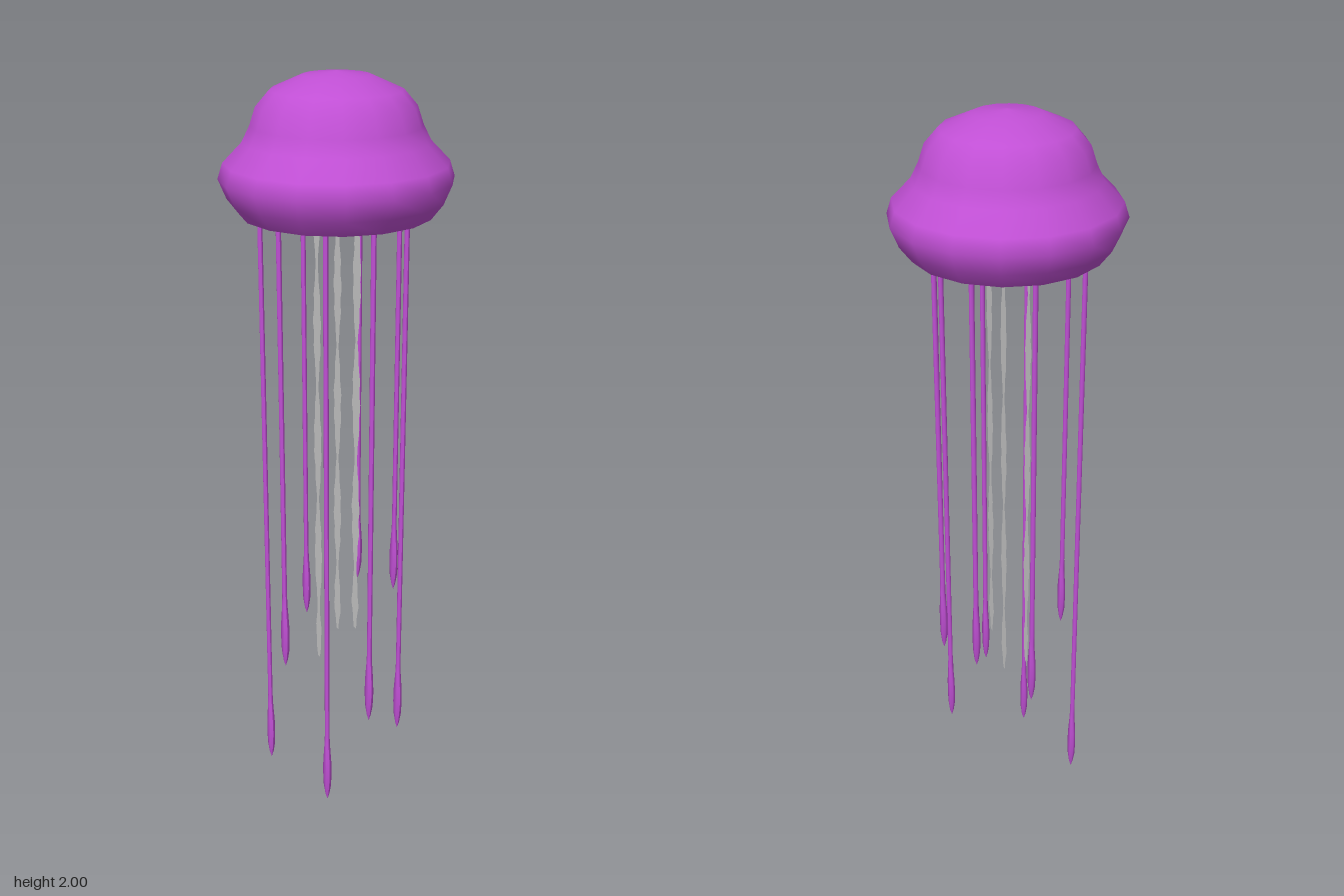
import * as THREE from 'three';

const purple = new THREE.MeshStandardMaterial({ color: 0xc04fd4, side: THREE.DoubleSide });
const grey = new THREE.MeshStandardMaterial({ color: 0xcccccc, side: THREE.DoubleSide });
const points = (list) => list.map(([r, y]) => new THREE.Vector2(r, y));

// Hollow bell: rim, flared skirt, domed crown and the inner wall
function createBell() {
  const bell = new THREE.Group();
  bell.name = 'bell';
  const parts = {
    bellOuter: [[0.245, 1.65], [0.276, 1.69], [0.297, 1.74], [0.284, 1.78], [0.235, 1.83],
      [0.215, 1.87], [0.2, 1.915], [0.165, 1.955], [0.085, 1.99], [0, 2]],
    bellRim: [[0.225, 1.65], [0.245, 1.65]],
    bellInner: [[0, 1.95], [0.08, 1.94], [0.14, 1.91], [0.18, 1.86], [0.215, 1.79],
      [0.24, 1.73], [0.225, 1.65]],
  };
  for (const [name, profile] of Object.entries(parts)) {
    const mesh = new THREE.Mesh(new THREE.LatheGeometry(points(profile), 16), purple);
    mesh.name = name;
    bell.add(mesh);
  }
  return bell;
}

// Thin stalk ending in a flattened, pointed club
function createTentacle(x, z, bottom) {
  const top = 1.785;
  const profile = points([[0, 0], [0.006, 0.02], [0.011, 0.05], [0.015, 0.09], [0.0135, 0.13],
    [0.008, 0.19], [0.007, 0.22], [0.007, top - bottom], [0, top - bottom]]);
  const geometry = new THREE.LatheGeometry(profile, 8);
  const position = geometry.attributes.position;
  for (let i = 0; i < position.count; i++) {
    position.setX(i, THREE.MathUtils.clamp(position.getX(i), -0.008, 0.008));
  }
  geometry.computeVertexNormals();
  const mesh = new THREE.Mesh(geometry, purple);
  mesh.name = 'tentacle';
  mesh.position.set(x, bottom, z);
  return mesh;
}

// Flat frilled ribbon lying in the YZ plane
function createOralArm(x, z, bottom, phase) {
  const top = 1.8;
  const steps = 72;
  const left = [];
  const right = [];
  for (let i = 0; i <= steps; i++) {
    const t = i / steps;
    const y = bottom + (top - bottom) * t;
    const swell = Math.abs(Math.sin((y * Math.PI) / 0.33 + phase));
    const ripple = 0.003 * Math.sin((y * 2 * Math.PI) / 0.075);
    const half = (0.006 + 0.015 * swell + ripple * swell) * Math.min(1, 0.3 + t * 12);
    left.push(new THREE.Vector2(-half, y));
    right.unshift(new THREE.Vector2(half, y));
  }
  const geometry = new THREE.ShapeGeometry(new THREE.Shape([...left, ...right]));
  geometry.rotateY(Math.PI / 2);
  const mesh = new THREE.Mesh(geometry, grey);
  mesh.name = 'oralArm';
  mesh.position.set(x, 0, z);
  return mesh;
}

export function createModel() {
  const model = new THREE.Group();
  model.name = 'jellyfish';
  model.add(createBell());

  // Ring of tentacles: x, z, height of the tip
  const tentacles = [
    [0, 0.2, 0.25], [0.14, 0.115, 0.13], [0.2, -0.03, 0.505], [0.14, -0.14, 0.505],
    [0, -0.2, 0.39], [-0.175, -0.085, 0], [-0.115, 0.17, 0], [-0.2, 0.085, 0.42],
  ];
  for (const t of tentacles) model.add(createTentacle(...t));

  // Three central ribbons: x, z, height of the tip, frill phase
  const arms = [[0.03, 0.055, 0.465, 0], [-0.057, 0, 0.365, 1.2], [0.03, -0.055, 0.405, 0.4]];
  for (const a of arms) model.add(createOralArm(...a));

  return model;
}
